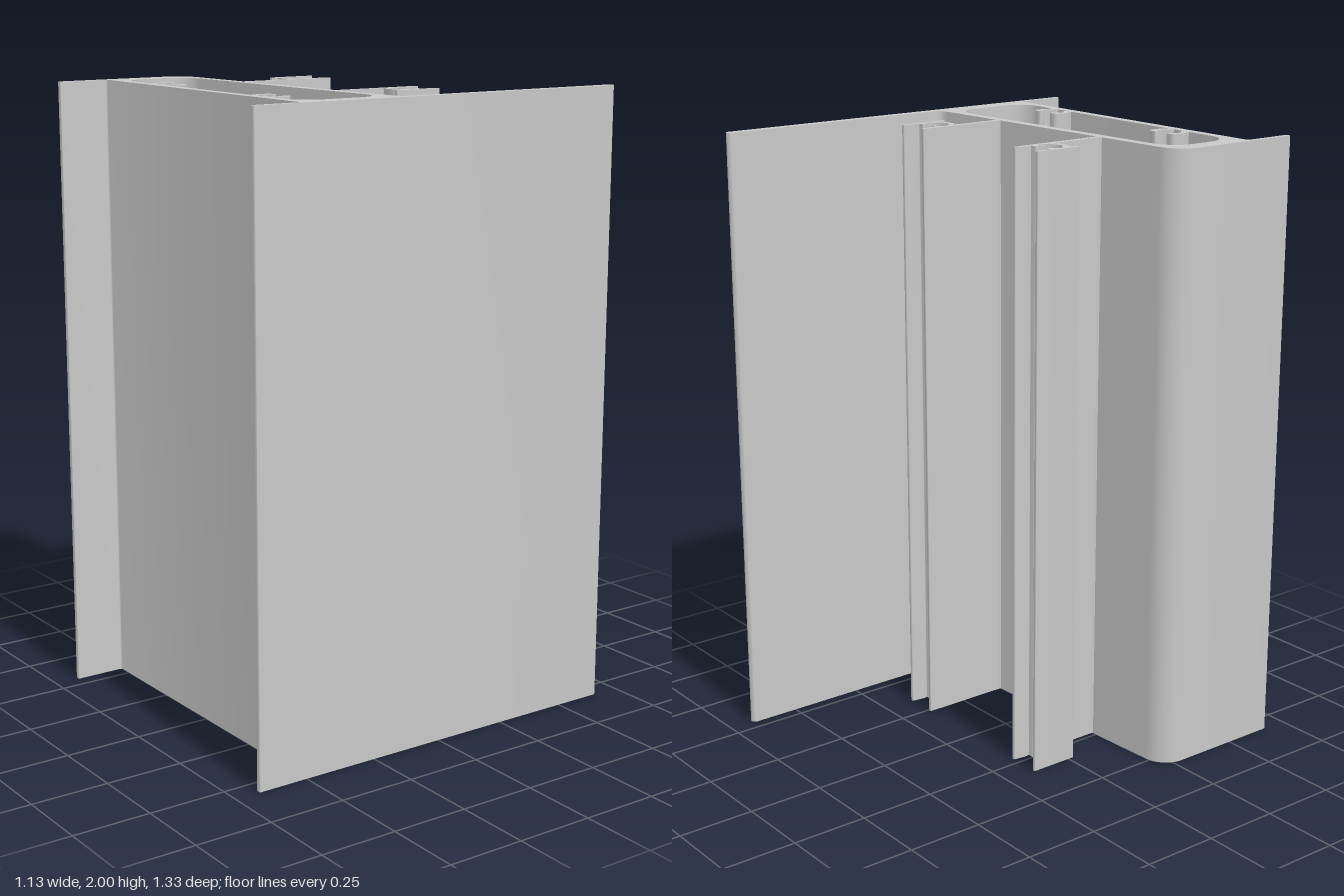
import * as THREE from 'three';
import { toCreasedNormals } from 'three/addons/utils/BufferGeometryUtils.js';

const HEIGHT = 2;

// Traces corners [x, z, radius] into a path with rounded corners (path y = -z).
// A narrow strip beside each corner keeps the large faces evenly flat.
function trace(path, corners) {
  const pts = corners.map(([x, z]) => new THREE.Vector2(x, -z));
  const n = pts.length;
  pts.forEach((p, i) => {
    const r = corners[i][2] || 0;
    const toward = (q, d) => p.clone().add(q.clone().sub(p).setLength(d));
    const prev = pts[(i + n - 1) % n], next = pts[(i + 1) % n];
    const start = r ? toward(prev, r * 1.02) : p;
    if (i === 0) path.moveTo(start.x, start.y);
    else path.lineTo(start.x, start.y);
    if (r) {
      const a = toward(prev, r), b = toward(next, r), end = toward(next, r * 1.02);
      const c = toward(prev, r * 0.45), d = toward(next, r * 0.45);
      path.lineTo(a.x, a.y);
      path.bezierCurveTo(c.x, c.y, d.x, d.y, b.x, b.y);
      path.lineTo(end.x, end.y);
    }
  });
  path.closePath();
  return path;
}

// Extrudes a plan outline straight up; a hole must run opposite to its outline.
function extrude(name, corners, material, hole) {
  const shape = trace(new THREE.Shape(), corners);
  if (hole) shape.holes.push(trace(new THREE.Path(), hole));
  const geometry = new THREE.ExtrudeGeometry(shape, { depth: HEIGHT, bevelEnabled: false, curveSegments: 8 });
  geometry.rotateX(-Math.PI / 2);
  const mesh = new THREE.Mesh(toCreasedNormals(geometry, 0.5), material);
  mesh.name = name;
  return mesh;
}

export function createModel() {
  const group = new THREE.Group();
  group.name = 'extrudedFrameProfile';
  const aluminium = new THREE.MeshStandardMaterial({ color: 0xc8c8c8 });
  aluminium.name = 'aluminium grey';

  // Hollow body with the long rear fin and two short front flanges
  const outline = [
    [0.566, -0.667, 0.014], [0.566, 0.667, 0.004],
    [0.548, 0.667, 0.004], [0.548, 0.501, 0.007],
    [-0.548, 0.501, 0.007], [-0.548, 0.667, 0.004],
    [-0.566, 0.667, 0.004], [-0.566, 0.203, 0.08],
    [0.537, 0.146, 0.03], [0.537, -0.667, 0.014],
  ];
  const cavity = [
    [-0.503, 0.47, 0.08], [0.503, 0.47, 0.08],
    [0.503, 0.179, 0.085], [-0.503, 0.233, 0.08],
  ];
  group.add(extrude('hollowBody', outline, aluminium, cavity));

  // One hooked arm of the screw ports inside the cavity
  const arm = [
    [0.048, 0.471], [0.061, 0.436, 0.012], [0.059, 0.396, 0.016],
    [0.025, 0.396, 0.004], [0.022, 0.409, 0.004], [0.041, 0.421, 0.006],
    [0.041, 0.443, 0.006], [0.017, 0.465, 0.003], [0.021, 0.471],
  ];

  for (const [side, centre] of [[-1, -0.2725], [1, 0.2965]]) {
    const label = side < 0 ? 'right' : 'left';

    // Inner screw port: a mirrored pair of arms
    for (const m of [-1, 1]) {
      const corners = arm.map(([u, z, r]) => [centre + m * u, z, r]);
      group.add(extrude(`${label}ScrewPortArm`, corners, aluminium));
    }

    // Rear clip channel on a stem that stands on the sloping wall
    const place = ([u, z, r]) => [centre - side * u, z, r];
    const foot = (u) => 0.1737 - 0.0517 * (centre - side * u) + 0.003;
    const channel = [
      // stem outer face and foot
      [0.059, -0.142, 0.003], [0.059, foot(0.059) - 0.01], [0.065, foot(0.065)],
      [0.034, foot(0.034)], [0.04, foot(0.04) - 0.01],
      // rounded underside and free wall
      [0.04, -0.005, 0.004], [0.02, 0.007, 0.01], [-0.02, 0.007, 0.01], [-0.043, -0.005, 0.004],
      [-0.045, 0.019, 0.002], [-0.059, 0.019, 0.002], [-0.059, -0.142, 0.003],
      // inside of the free wall, then the socket, then inside of the stem
      [-0.047, -0.142, 0.003], [-0.041, -0.099], [-0.044, -0.085, 0.003],
      [-0.022, -0.085, 0.003], [-0.022, -0.073, 0.003], [-0.042, -0.057, 0.005], [-0.042, -0.036, 0.005],
      [-0.019, -0.014, 0.003], [0, -0.009], [0.019, -0.014, 0.003],
      [0.042, -0.036, 0.005], [0.042, -0.057, 0.005], [0.022, -0.073, 0.003], [0.022, -0.085, 0.003],
      [0.044, -0.085, 0.003], [0.041, -0.099], [0.047, -0.142, 0.003],
    ].map(place);
    group.add(extrude(`${label}ClipChannel`, channel, aluminium));
  }
  return group;
}
